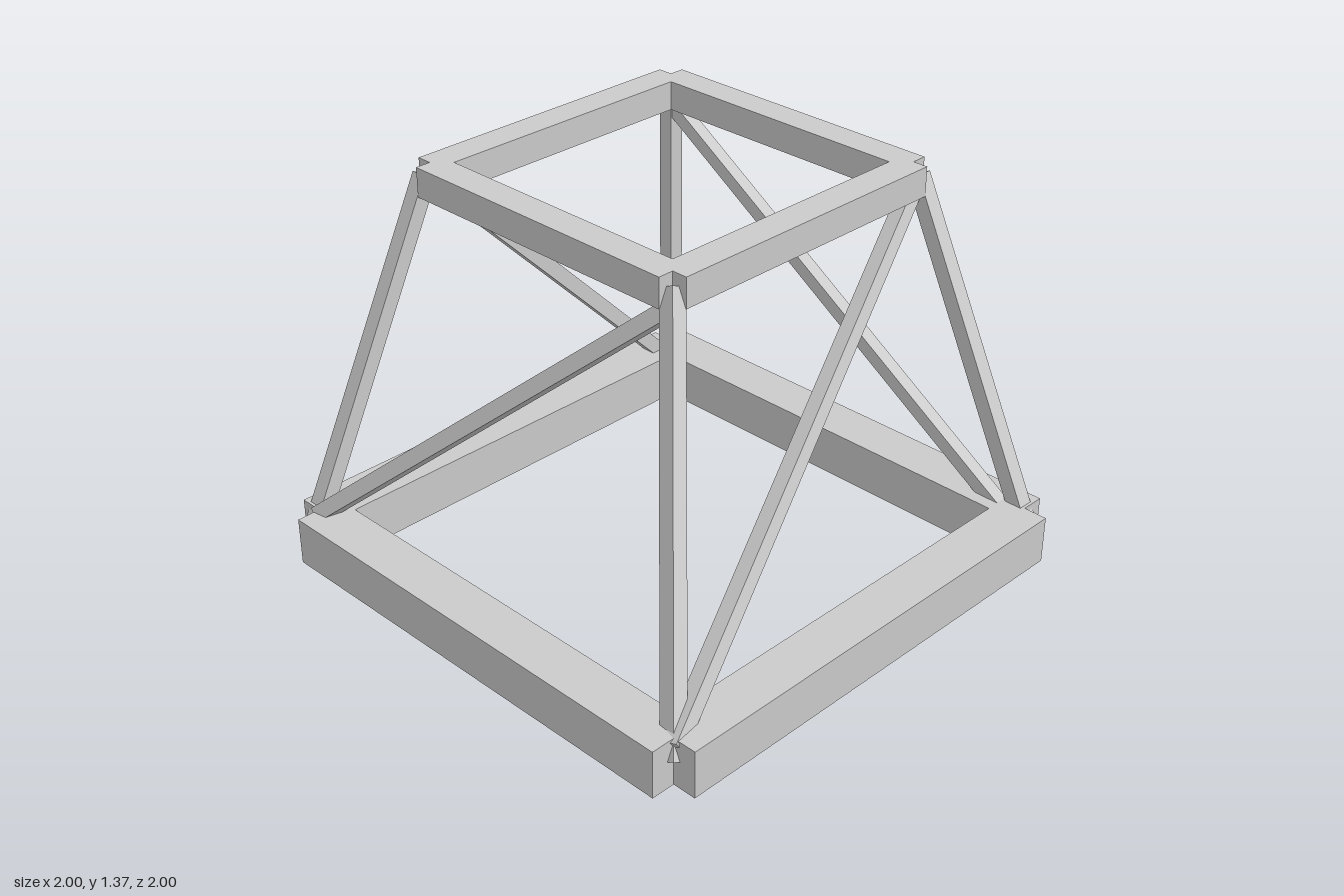
import * as THREE from 'three';

const material = new THREE.MeshStandardMaterial({ color: 0xcccccc, flatShading: true });

function addBox(parent, name, size, position) {
  const mesh = new THREE.Mesh(new THREE.BoxGeometry(...size), material);
  mesh.name = name;
  mesh.position.set(...position);
  parent.add(mesh);
  return mesh;
}

// Square frame whose beams run from corner centre to corner centre, leaving notched corners
function addFrame(parent, name, lo, hi, bottom, width, height) {
  const frame = new THREE.Group();
  frame.name = name;
  const mid = (lo + hi) / 2;
  const y = bottom + height / 2;
  for (const c of [lo, hi]) {
    addBox(frame, name + (c === lo ? 'BackBeam' : 'FrontBeam'), [hi - lo, height, width], [mid, y, c]);
    addBox(frame, name + (c === lo ? 'RightBeam' : 'LeftBeam'), [width, height, hi - lo], [c, y, mid]);
  }
  parent.add(frame);
}

// Square bar stretched between two points
function addStrut(parent, name, from, to, width) {
  const a = new THREE.Vector3(...from);
  const b = new THREE.Vector3(...to);
  const dir = b.clone().sub(a);
  const centre = a.clone().add(b).multiplyScalar(0.5);
  const strut = addBox(parent, name, [width, dir.length(), width], centre.toArray());
  strut.quaternion.setFromUnitVectors(new THREE.Vector3(0, 1, 0), dir.normalize());
}

export function createModel() {
  const model = new THREE.Group();
  model.name = 'trussTower';

  const B = 0.907; // base corner centre
  const T = 0.3; // inner corner centre of the upper frame
  const y0 = 0.0925;
  const y1 = 1.307;

  addFrame(model, 'baseFrame', -B, B, 0, 0.185, 0.185);
  addFrame(model, 'topFrame', -B, T, 1.25, 0.122, 0.115);

  // Corner legs: one upright, three leaning
  const legs = new THREE.Group();
  legs.name = 'legs';
  addStrut(legs, 'backRightLeg', [-B, y0, -B], [-B, y1, -B], 0.062);
  addStrut(legs, 'backLeftLeg', [B, y0, -0.925], [T, y1, -0.937], 0.062);
  addStrut(legs, 'frontRightLeg', [-0.94, y0, B], [-0.94, y1, T], 0.062);
  addStrut(legs, 'frontLeftLeg', [B, y0, B], [T, y1, T], 0.062);
  model.add(legs);

  // One diagonal brace on each side
  const braces = new THREE.Group();
  braces.name = 'diagonalBraces';
  addStrut(braces, 'frontBrace', [-B, 0.165, B], [T, 1.235, T], 0.058);
  addStrut(braces, 'leftBrace', [B, 0.15, B], [T, 1.265, -B], 0.058);
  addStrut(braces, 'backBrace', [B, y0, -0.89], [-B, 1.25, -0.91], 0.055);
  addStrut(braces, 'rightBrace', [-B, y0, -B], [-B, y1, T], 0.058);
  model.add(braces);

  return model;
}
